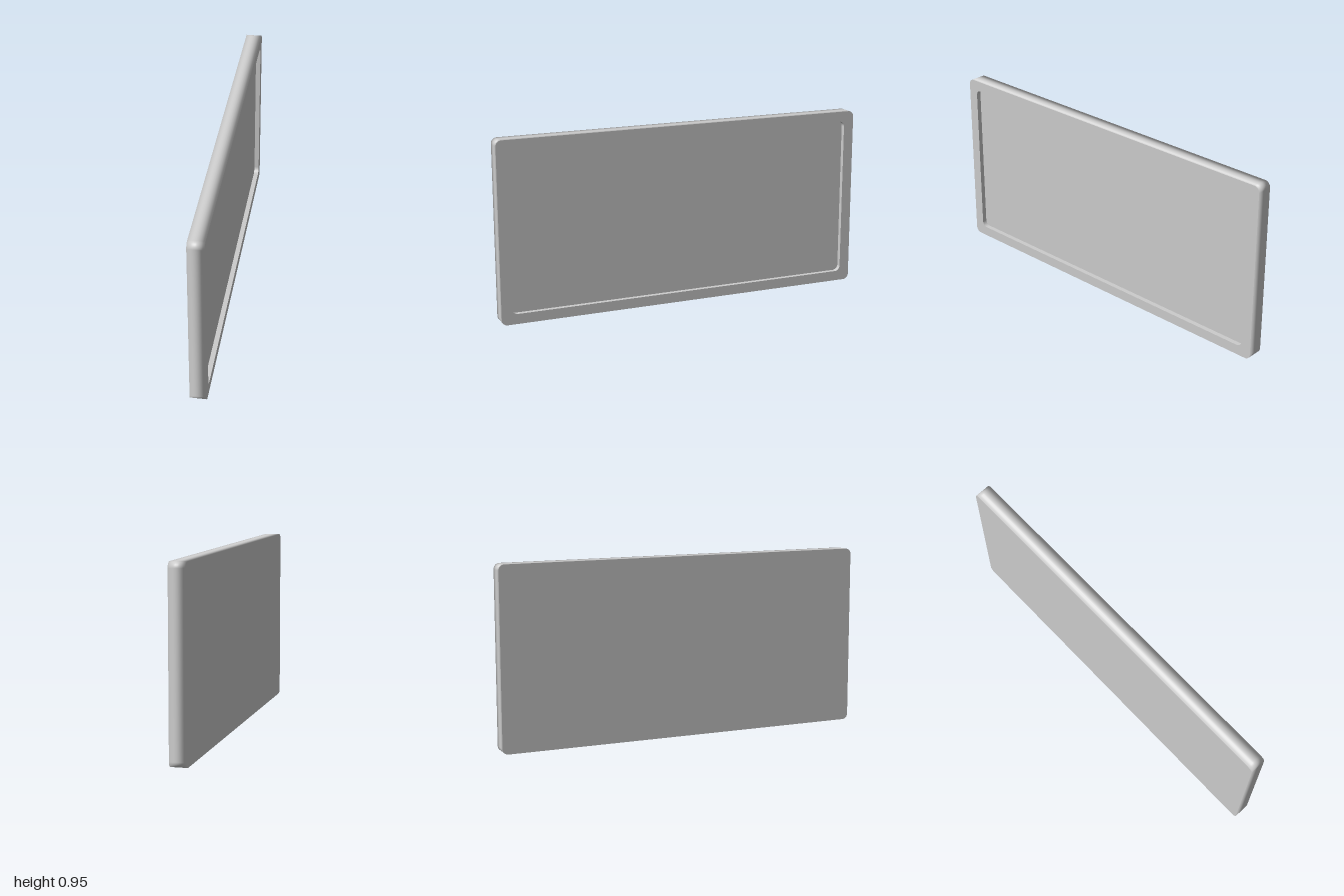
import * as THREE from 'three';

const LENGTH = 2, HEIGHT = 0.955, THICK = 0.084, RECESS = 0.025, RADIUS = 0.03;

// Rounded rectangle centred on the origin
function roundedRect(w, h, r, Type = THREE.Shape) {
  const s = new Type(), x = w / 2, y = h / 2;
  s.moveTo(-x + r, -y);
  s.lineTo(x - r, -y);
  s.absarc(x - r, -y + r, r, -Math.PI / 2, 0);
  s.lineTo(x, y - r);
  s.absarc(x - r, y - r, r, 0, Math.PI / 2);
  s.lineTo(-x + r, y);
  s.absarc(-x + r, y - r, r, Math.PI / 2, Math.PI);
  s.lineTo(-x, -y + r);
  s.absarc(-x + r, -y + r, r, Math.PI, Math.PI * 1.5);
  return s;
}

// Extrudes a slab from x0 to x1 and shades its outer rim as a soft convex edge
function slab(name, shape, x0, x1, steps, material) {
  const g = new THREE.ExtrudeGeometry(shape, { depth: x1 - x0, steps, bevelEnabled: false, curveSegments: 10 });
  g.rotateY(Math.PI / 2);
  g.translate(x0, 0, 0);
  const p = g.attributes.position, n = g.attributes.normal, out = new THREE.Vector3();
  const cz = LENGTH / 2 - RADIUS, cy = HEIGHT / 2 - RADIUS;
  for (let i = 0; i < p.count; i++) {
    if (Math.abs(n.getX(i)) > 0.5) continue;
    const y = p.getY(i), z = p.getZ(i);
    out.set(0, y - THREE.MathUtils.clamp(y, -cy, cy), z - THREE.MathUtils.clamp(z, -cz, cz));
    if (out.length() < 1e-4) continue; // recess wall
    const a = (p.getX(i) / (THICK / 2)) * 1.2;
    out.normalize().multiplyScalar(Math.cos(a));
    n.setXYZ(i, Math.sin(a), out.y, out.z);
  }
  const mesh = new THREE.Mesh(g, material);
  mesh.name = name;
  mesh.position.y = HEIGHT / 2;
  return mesh;
}

export function createModel() {
  const group = new THREE.Group();
  group.name = 'framedPanel';
  const material = new THREE.MeshStandardMaterial({ color: 0xcccccc });
  const floor = THICK / 2 - RECESS;

  // Solid back, its face forming the floor of the recess
  group.add(slab('backPanel', roundedRect(LENGTH, HEIGHT, RADIUS), -THICK / 2, floor, 6, material));

  // Raised border around the recessed face
  const border = roundedRect(LENGTH, HEIGHT, RADIUS);
  border.holes.push(roundedRect(1.89, 0.848, 0.03, THREE.Path));
  group.add(slab('raisedBorder', border, floor, THICK / 2, 3, material));

  return group;
}
